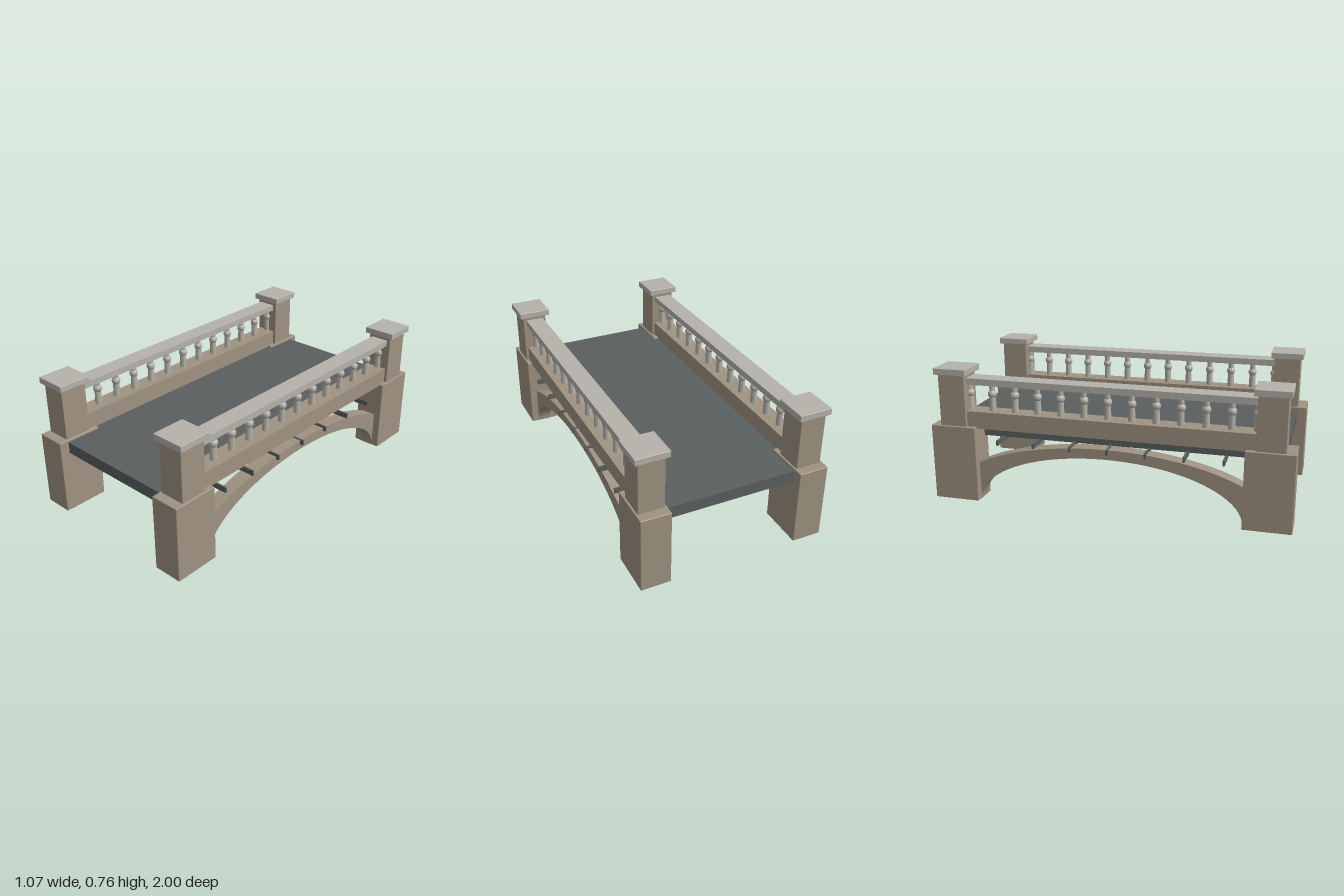
import * as THREE from 'three';
import { RoundedBoxGeometry } from 'three/addons/geometries/RoundedBoxGeometry.js';

const stone = new THREE.MeshStandardMaterial({ color: 0x9f9281 });
stone.name = 'tan stone';
const trim = new THREE.MeshStandardMaterial({ color: 0xb5b2aa });
trim.name = 'pale stone';
const road = new THREE.MeshStandardMaterial({ color: 0x5a5f60 });
road.name = 'dark paving';

const SIDE_X = 0.4425; // centre line of each parapet

function add(parent, name, geometry, material, x = 0, y = 0, z = 0) {
  const mesh = new THREE.Mesh(geometry, material);
  mesh.name = name;
  mesh.position.set(x, y, z);
  parent.add(mesh);
  return mesh;
}

// Box given by its width, depth and vertical range; optional softened edges
function block(parent, name, material, w, d, y0, y1, x, z, soft = 0) {
  const h = y1 - y0;
  const geometry = soft ? new RoundedBoxGeometry(w, h, d, 1, soft) : new THREE.BoxGeometry(w, h, d);
  return add(parent, name, geometry, material, x, (y0 + y1) / 2, z);
}

// Arch band between two elliptical curves, extruded across its width
function archGeometry(width) {
  const half = 0.74, steps = 40, outerA = 0.935, outerB = 0.355, innerB = 0.3;
  const shape = new THREE.Shape();
  for (let i = 0; i <= steps; i++) {
    const u = -half + (2 * half * i) / steps;
    const y = outerB * Math.sqrt(1 - (u / outerA) ** 2);
    if (i === 0) shape.moveTo(u, y);
    else shape.lineTo(u, y);
  }
  for (let i = 0; i <= steps; i++) {
    const a = (Math.PI * i) / steps;
    shape.lineTo(half * Math.cos(a), innerB * Math.sin(a));
  }
  const geometry = new THREE.ExtrudeGeometry(shape, { depth: width, bevelEnabled: false });
  geometry.translate(0, 0, -width / 2);
  geometry.rotateY(Math.PI / 2);
  return geometry;
}

const shaftGeometry = new THREE.CylinderGeometry(0.018, 0.02, 0.08, 10);
const ballGeometry = new THREE.SphereGeometry(0.025, 12, 8);
const neckGeometry = new THREE.CylinderGeometry(0.016, 0.016, 0.05, 10);

function baluster() {
  const group = new THREE.Group();
  group.name = 'baluster';
  add(group, 'balusterShaft', shaftGeometry, trim, 0, 0.553, 0);
  add(group, 'balusterBall', ballGeometry, trim, 0, 0.61, 0);
  add(group, 'balusterNeck', neckGeometry, trim, 0, 0.645, 0);
  return group;
}

// Corner pier with its post and cap
function pier(parent, x, s) {
  const group = new THREE.Group();
  group.name = 'cornerPier';
  block(group, 'pierBase', stone, 0.166, 0.26, 0, 0.43, x, s * 0.87, 0.004);
  block(group, 'pierPost', stone, 0.143, 0.153, 0.42, 0.725, x, s * 0.87, 0.003);
  block(group, 'pierCap', trim, 0.184, 0.188, 0.72, 0.756, x, s * 0.869, 0.003);
  parent.add(group);
}

export function createModel() {
  const bridge = new THREE.Group();
  bridge.name = 'bridge';

  block(bridge, 'deck', road, 0.8, 1.89, 0.353, 0.418, 0, 0);

  const arch = archGeometry(0.08);
  for (const side of [-1, 1]) {
    const x = side * SIDE_X;
    const parapet = new THREE.Group();
    parapet.name = side > 0 ? 'leftSide' : 'rightSide';
    bridge.add(parapet);

    add(parapet, 'arch', arch, stone, x);
    block(parapet, 'curb', stone, 0.11, 1.59, 0.42, 0.516, x, 0);
    block(parapet, 'handrail', trim, 0.104, 1.58, 0.666, 0.702, x, 0);

    // Row of balusters, the end ones set partly into the posts
    for (let i = -6; i <= 6; i++) {
      const post = baluster();
      post.position.set(x, 0, i * 0.132);
      parapet.add(post);
    }

    // Thin brackets below the deck edge
    for (let i = -3; i <= 3; i++) {
      block(parapet, 'bracket', road, 0.135, 0.01, 0.33, 0.36, side * 0.433, i * 0.209 + 0.006);
    }

    for (const end of [-1, 1]) pier(parapet, x, end);
  }
  return bridge;
}
